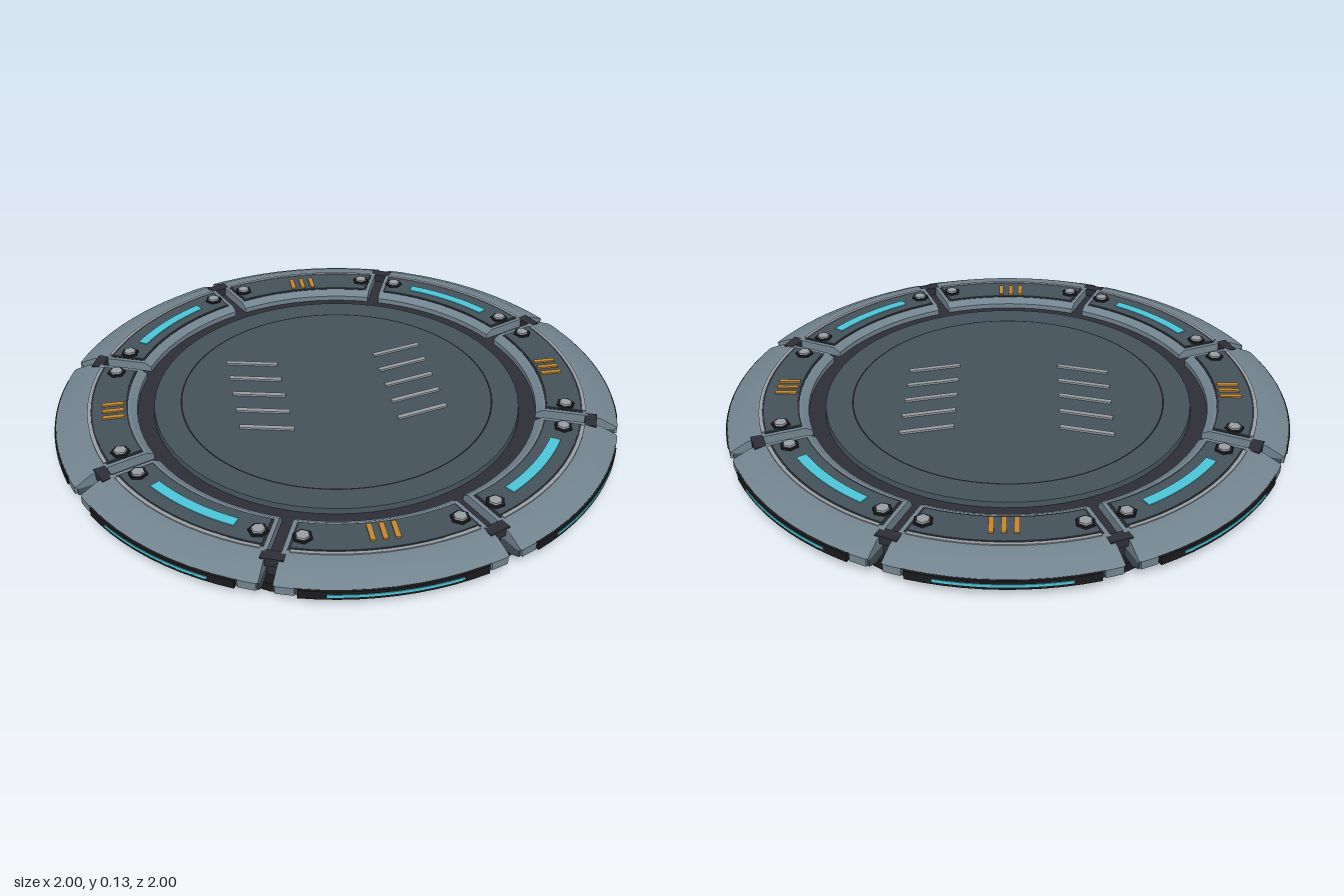
import * as THREE from 'three';
import { toCreasedNormals } from 'three/addons/utils/BufferGeometryUtils.js';

const DEG = Math.PI / 180;
const paint = (name, color) => {
  const m = new THREE.MeshStandardMaterial({ color });
  m.name = name;
  return m;
};

// Sweeps a closed (radius, y) profile around the y axis. span(r) is the half angle
// at each radius, so the ends can run parallel to the gap between two segments.
function sector(profile, centre, span, steps = 10) {
  const shape = new THREE.Shape(profile.map(([r, y]) => new THREE.Vector2(r, y)));
  const geo = new THREE.ExtrudeGeometry(shape, { depth: 2, steps, bevelEnabled: false });
  const p = geo.attributes.position;
  for (let i = 0; i < p.count; i++) {
    const r = p.getX(i);
    const a = centre + (1 - p.getZ(i)) * span(r);
    p.setXYZ(i, r * Math.sin(a), p.getY(i), r * Math.cos(a));
  }
  geo.computeVertexNormals();
  return toCreasedNormals(geo, 0.35);
}

const rect = (r0, r1, y0, y1) => [[r0, y0], [r1, y0], [r1, y1], [r0, y1]];
const inset = (gap) => (r) => Math.PI / 8 - gap / r;
const degrees = (d) => () => d * DEG;

export function createModel() {
  const root = new THREE.Group();
  root.name = 'roundPlatform';

  const armour = paint('blue grey armour', 0x72848f);
  const panel = paint('dark slate panel', 0x44525a);
  const dark = paint('dark violet grey', 0x2d2d37);
  const black = paint('black base', 0x1a1a1d);
  const silver = paint('silver trim', 0x979da2);
  const cyan = paint('cyan light', 0x4cc4d8);
  const orange = paint('orange marking', 0xc4862f);

  const add = (parent, name, geo, mat, x = 0, y = 0, z = 0) => {
    const mesh = new THREE.Mesh(geo, mat);
    mesh.name = name;
    mesh.position.set(x, y, z);
    parent.add(mesh);
    return mesh;
  };

  // Foot, core and recessed deck
  add(root, 'base', new THREE.CylinderGeometry(0.937, 0.937, 0.034, 16), black, 0, 0.017, 0);
  add(root, 'core', new THREE.CylinderGeometry(0.9, 0.9, 0.05, 64), dark, 0, 0.056, 0);
  add(root, 'deck', new THREE.CylinderGeometry(0.65, 0.655, 0.03, 64), panel, 0, 0.085, 0);
  const groove = new THREE.RingGeometry(0.552, 0.558, 96).rotateX(-Math.PI / 2);
  add(root, 'deckGroove', groove, black, 0, 0.1015, 0);

  // Slanted grip bars on the deck
  for (const side of [-1, 1]) {
    for (let i = 0; i < 5; i++) {
      const bar = add(root, 'gripBar', new THREE.BoxGeometry(0.19, 0.008, 0.018), silver,
        side * 0.275, 0.103, -0.243 + i * 0.104);
      bar.rotation.y = side * 0.24;
    }
  }

  const rimProfile = [[0.71, 0.06], [0.985, 0.07], [0.993, 0.08], [0.935, 0.108],
    [0.89, 0.115], [0.735, 0.115], [0.71, 0.1]];
  const underProfile = [[0.89, 0.03], [0.95, 0.032], [0.986, 0.048], [0.986, 0.074], [0.89, 0.068]];
  const boltHead = new THREE.CylinderGeometry(0.022, 0.025, 0.012, 6);
  const boltWasher = new THREE.CylinderGeometry(0.032, 0.034, 0.008, 6);

  // Eight rim segments
  for (let k = 0; k < 8; k++) {
    const a = (k * Math.PI) / 4;
    const seg = new THREE.Group();
    seg.name = 'rimSegment';
    seg.rotation.y = a;
    root.add(seg);
    const part = (name, profile, span, mat, steps, centre = 0) =>
      add(seg, name, sector(profile, centre, span, steps), mat);

    part('rimArmour', rimProfile, inset(0.022), armour);
    part('rimUnderside', underProfile, inset(0.022), panel);
    part('edgeBand', rect(0.96, 0.998, 0.046, 0.077), degrees(17), black);
    part('edgeLight', rect(0.99, 1.0, 0.056, 0.066), degrees(12), cyan);
    part('panelBorder', rect(0.742, 0.872, 0.11, 0.1165), inset(0.036), dark);
    part('topPanel', rect(0.748, 0.864, 0.11, 0.119), inset(0.044), panel);
    part('outerTrim', rect(0.87, 0.882, 0.11, 0.119), inset(0.046), silver);

    // Edge clips and bolts at both ends
    for (const side of [-1, 1]) {
      part('edgeClip', rect(0.955, 0.995, 0.052, 0.08), degrees(1.7), armour, 2, side * 19.2 * DEG);
      const t = side * 17.6 * DEG;
      const x = 0.812 * Math.sin(t), z = 0.812 * Math.cos(t);
      add(seg, 'boltWasher', boltWasher, black, x, 0.121, z);
      add(seg, 'bolt', boltHead, silver, x, 0.125, z);
    }

    if (k % 2) {
      part('topLight', rect(0.782, 0.818, 0.117, 0.1225), degrees(12), cyan);
    } else {
      for (let i = -1; i <= 1; i++) {
        add(seg, 'warningStripe', new THREE.BoxGeometry(0.017, 0.008, 0.076), orange,
          i * 0.039, 0.1205, 0.792);
      }
    }

    // Connector bridging the gap to the next segment
    const joint = new THREE.Group();
    joint.name = 'joint';
    joint.rotation.y = a + Math.PI / 8;
    root.add(joint);
    add(joint, 'connector', new THREE.BoxGeometry(0.075, 0.03, 0.04), dark, 0, 0.1, 0.9);
  }
  return root;
}
